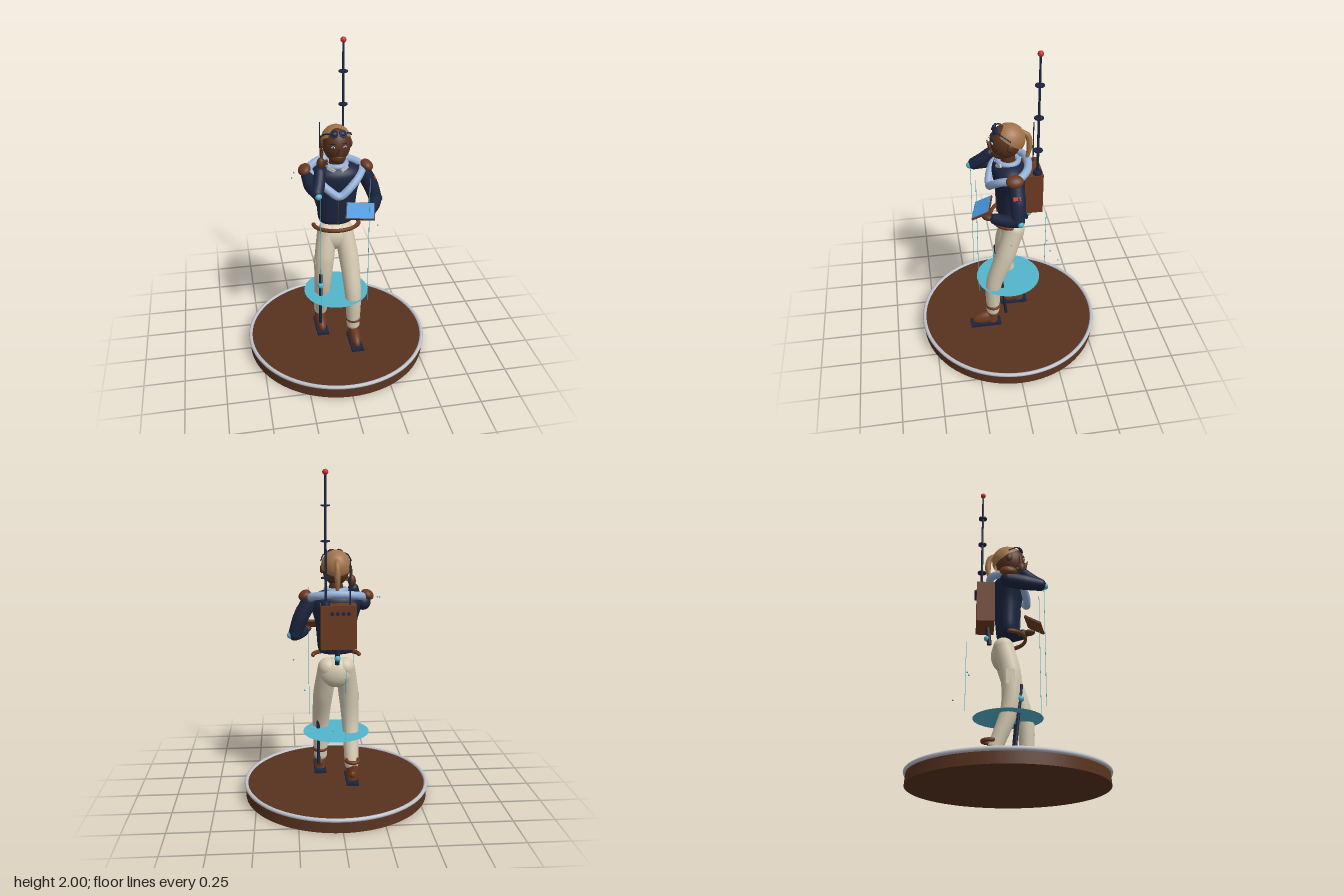
import * as THREE from 'three';

const mat = (name, color, side = THREE.FrontSide) => {
  const m = new THREE.MeshStandardMaterial({ color, side });
  m.name = name;
  return m;
};

export function createModel() {
  const root = new THREE.Group();
  const leather = mat('leather brown', 0x6b3a20);
  const skin = mat('dark brown', 0x58321f);
  const navy = mat('navy', 0x1b2540);
  const cream = mat('cream', 0xd3c8b0);
  const scarfBlue = mat('pale blue', 0x93afd6);
  const screenBlue = mat('screen blue', 0x4a9be2);
  const cyan = mat('cyan', 0x52b5cc, THREE.DoubleSide);
  const red = mat('red', 0xc9302c);
  const silver = mat('silver', 0xbfc3cc);
  const tan = mat('tan', 0xa0734a, THREE.DoubleSide);

  const v = (p) => new THREE.Vector3(...p);
  const add = (name, geo, material, pos = [0, 0, 0], rot = [0, 0, 0], scale = [1, 1, 1], parent = root) => {
    const m = new THREE.Mesh(geo, material);
    m.name = name;
    m.position.set(...pos);
    m.rotation.set(...rot);
    m.scale.set(...scale);
    parent.add(m);
    return m;
  };
  const box = (name, material, size, pos, rot) => add(name, new THREE.BoxGeometry(...size), material, pos, rot);
  const ball = (name, material, radii, pos, rot) =>
    add(name, new THREE.SphereGeometry(1, 28, 18), material, pos, rot, Array.isArray(radii) ? radii : [radii, radii, radii]);
  const cyl = (name, material, rTop, rBottom, h, pos, rot) =>
    add(name, new THREE.CylinderGeometry(rTop, rBottom, h, 24), material, pos, rot);
  // Straight rod between two points
  const rod = (name, material, r, a, b) => {
    const d = v(b).sub(v(a));
    const m = cyl(name, material, r, r, d.length(), v(a).add(v(b)).multiplyScalar(0.5).toArray());
    m.quaternion.setFromUnitVectors(new THREE.Vector3(0, 1, 0), d.normalize());
    return m;
  };
  // Smooth tube with a radius for every path point and rounded ends
  const limb = (name, material, pts, radii, n = 32, sides = 20) => {
    const path = new THREE.CatmullRomCurve3(pts.map(v));
    const geo = new THREE.TubeGeometry(path, n, 1, sides);
    const pos = geo.attributes.position, p = new THREE.Vector3();
    for (let i = 0; i <= n; i++) {
      const c = path.getPointAt(i / n);
      const t = path.getUtoTmapping(i / n) * (radii.length - 1);
      const k = Math.min(Math.floor(t), radii.length - 2);
      const r = THREE.MathUtils.lerp(radii[k], radii[k + 1], t - k);
      for (let j = 0; j <= sides; j++) {
        const id = i * (sides + 1) + j;
        p.fromBufferAttribute(pos, id).sub(c).multiplyScalar(r).add(c);
        pos.setXYZ(id, p.x, p.y, p.z);
      }
    }
    geo.computeVertexNormals();
    add(name, geo, material);
    ball(name + 'Start', material, radii[0], pts[0]);
    ball(name + 'End', material, radii[radii.length - 1], pts[pts.length - 1]);
  };

  // Display base and glowing disc
  cyl('base', skin, 0.565, 0.57, 0.078, [0, 0.039, 0]);
  add('baseRim', new THREE.TorusGeometry(0.567, 0.012, 10, 80), silver, [0, 0.076, 0], [Math.PI / 2, 0, 0]);
  root.getObjectByName('base').geometry = new THREE.CylinderGeometry(0.565, 0.57, 0.078, 80);
  add('glowDisc', new THREE.CircleGeometry(0.205, 48), cyan, [0, 0.4, 0], [-Math.PI / 2, 0, 0]);

  // Thin light beams and floating sparks
  for (const [x, z, y0, y1] of [[-0.13, 0.21, 0.44, 1.19], [0.16, 0.21, 0.44, 1.28], [-0.04, -0.25, 0.43, 0.86]])
    box('lightBeam', cyan, [0.003, y1 - y0, 0.003], [x, (y0 + y1) / 2, z]);
  for (const p of [[0.04, 0.52, -0.32], [0.2, 0.74, -0.23], [-0.25, 1.25, -0.01], [0.26, 0.86, 0.02], [0.05, 0.7, -0.24], [-0.27, 1.24, 0.04]])
    ball('spark', cyan, 0.005, p);

  // Trousers
  ball('hips', cream, [0.113, 0.095, 0.072], [0, 0.79, -0.03]);
  limb('leftLeg', cream, [[0.052, 0.82, -0.03], [0.078, 0.64, 0.03], [0.09, 0.42, 0.105], [0.092, 0.2, 0.115]], [0.062, 0.062, 0.052, 0.042]);
  limb('rightLeg', cream, [[-0.052, 0.82, -0.03], [-0.078, 0.64, 0.01], [-0.09, 0.44, 0.005], [-0.092, 0.21, -0.075]], [0.062, 0.062, 0.052, 0.043]);
  box('pocket', cream, [0.02, 0.09, 0.05], [-0.13, 0.61, 0.005]);

  // Boots, ankle cuffs and leg braces
  for (const [s, z] of [[1, 0.115], [-1, -0.09]]) {
    const x = s * 0.095;
    box('sole', navy, [0.075, 0.016, 0.2], [x, 0.093, z + 0.05]);
    ball('bootToe', leather, [0.034, 0.045, 0.09], [x, 0.135, z + 0.05], [0.22, 0, 0]);
    cyl('bootAnkle', leather, 0.033, 0.035, 0.1, [x, 0.16, z + 0.005]);
    add('ankleCuff', new THREE.TorusGeometry(0.038, 0.012, 10, 28), leather, [x, 0.24, s > 0 ? 0.112 : -0.11], [Math.PI / 2, 0, 0]);
    rod('legBrace', navy, 0.01, [s * 0.11, 0.57, 0.07], [s * 0.108, 0.17, 0.03]);
    ball('braceJoint', cyan, 0.02, [s * 0.11, 0.485, 0.065]);
  }

  // Jacket and half belt
  const profile = [[0, 0.905], [0.085, 0.907], [0.11, 0.94], [0.119, 1.03], [0.131, 1.12], [0.155, 1.2], [0.148, 1.25], [0.1, 1.285], [0.035, 1.3]];
  add('jacket', new THREE.LatheGeometry(new THREE.SplineCurve(profile.map((p) => new THREE.Vector2(...p))).getPoints(32), 40), navy, [0, 0, -0.003], [0, 0, 0], [1, 1, 0.63]);
  add('belt', new THREE.TorusGeometry(0.14, 0.013, 10, 36, Math.PI), leather, [0, 0.894, 0], [Math.PI / 2, 0, 0], [1, 0.75, 1]);
  for (const s of [-1, 1]) ball('beltEnd', leather, 0.013, [s * 0.14, 0.894, 0]);

  // Scarf draped over the shoulders, meeting in a V
  const scarfPath = new THREE.CatmullRomCurve3([[0, 1.285, -0.115], [0.1, 1.275, -0.095], [0.16, 1.255, -0.03], [0.125, 1.225, 0.06], [0.06, 1.17, 0.105], [0, 1.13, 0.115],
    [-0.06, 1.17, 0.105], [-0.125, 1.225, 0.06], [-0.16, 1.255, -0.03], [-0.1, 1.275, -0.095]].map(v), true);
  add('scarf', new THREE.TubeGeometry(scarfPath, 80, 0.024, 14, true), scarfBlue);
  add('collar', new THREE.TorusGeometry(0.06, 0.016, 10, 32), scarfBlue, [0, 1.295, 0], [Math.PI / 2, 0, 0]);
  for (const s of [-1, 1]) box('collarFlap', silver, [0.05, 0.022, 0.012], [s * 0.04, 1.285, 0.062], [0, s * 0.5, s * 0.5]);

  // Shoulder pads
  for (const s of [-1, 1]) ball('shoulderPad', leather, [0.04, 0.03, 0.052], [s * 0.188, 1.265, -0.01], [0, 0, -s * 0.55]);

  // Right arm raised towards the face
  limb('rightUpperArm', navy, [[-0.16, 1.22, -0.01], [-0.16, 1.205, 0.09], [-0.143, 1.2, 0.185]], [0.048, 0.046, 0.037]);
  limb('rightForearm', navy, [[-0.143, 1.2, 0.185], [-0.125, 1.24, 0.14], [-0.113, 1.285, 0.095]], [0.037, 0.036, 0.033]);
  ball('rightElbowJoint', cyan, 0.02, [-0.14, 1.192, 0.215]);
  ball('rightHand', skin, [0.024, 0.038, 0.026], [-0.103, 1.335, 0.075]);
  rod('rightIndexFinger', skin, 0.009, [-0.1, 1.35, 0.075], [-0.094, 1.42, 0.07]);
  for (const i of [0, 1]) rod('rightFinger', skin, 0.008, [-0.095, 1.345 - i * 0.016, 0.09], [-0.068, 1.36 - i * 0.016, 0.098]);

  // Left arm carrying the tablet
  limb('leftUpperArm', navy, [[0.165, 1.225, -0.02], [0.215, 1.13, -0.025], [0.25, 1.03, -0.02]], [0.048, 0.047, 0.04]);
  limb('leftForearm', navy, [[0.25, 1.03, -0.02], [0.225, 1.02, 0.045], [0.195, 1.02, 0.105]], [0.04, 0.037, 0.033]);
  ball('leftElbowJoint', cyan, 0.02, [0.278, 1.025, -0.03]);
  ball('leftHand', skin, [0.028, 0.02, 0.04], [0.175, 1.025, 0.145], [0, -0.5, 0]);
  box('sleeveBadge', red, [0.008, 0.022, 0.045], [0.238, 1.18, -0.015], [0, 0, 0.45]);
  const tablet = new THREE.Group();
  tablet.name = 'tablet';
  tablet.position.set(0.115, 1.052, 0.172);
  tablet.rotation.set(0.52, -0.24, 0, 'YXZ');
  add('tabletCase', new THREE.BoxGeometry(0.17, 0.012, 0.115), leather, [0, 0, 0], [0, 0, 0], [1, 1, 1], tablet);
  add('tabletScreen', new THREE.BoxGeometry(0.158, 0.005, 0.107), screenBlue, [0, 0.007, 0], [0, 0, 0], [1, 1, 1], tablet);
  root.add(tablet);

  // Head and face
  cyl('neck', skin, 0.038, 0.045, 0.1, [0, 1.31, 0]);
  ball('head', skin, [0.082, 0.105, 0.092], [0, 1.425, 0.015]);
  ball('jaw', skin, [0.05, 0.042, 0.05], [0, 1.36, 0.05]);
  add('nose', new THREE.ConeGeometry(0.02, 0.06, 12), skin, [0, 1.42, 0.113], [0.5, 0, 0]);
  ball('mouth', leather, [0.022, 0.006, 0.008], [0, 1.372, 0.098]);
  for (const s of [-1, 1]) {
    ball('eye', silver, [0.012, 0.007, 0.006], [s * 0.034, 1.437, 0.098], [0, s * 0.4, 0]);
    ball('pupil', navy, [0.005, 0.006, 0.004], [s * 0.034, 1.437, 0.103]);
    box('eyebrow', navy, [0.028, 0.005, 0.006], [s * 0.034, 1.457, 0.095], [0, s * 0.4, 0]);
    ball('ear', skin, [0.012, 0.026, 0.02], [s * 0.085, 1.42, 0]);
  }

  // Hair, ponytail and goggles
  add('hair', new THREE.SphereGeometry(1, 36, 20, 0, Math.PI * 2, 0, 1.5), tan, [0, 1.435, -0.002], [-0.6, 0, 0], [0.09, 0.1, 0.098]);
  limb('ponytail', tan, [[0, 1.475, -0.085], [0, 1.45, -0.115], [0, 1.38, -0.127], [0, 1.285, -0.108]], [0.015, 0.018, 0.018, 0.008]);
  for (const s of [-1, 1]) {
    ball('goggleLens', navy, [0.019, 0.016, 0.011], [s * 0.026, 1.51, 0.077], [-0.6, s * 0.3, 0]);
    add('goggleRim', new THREE.TorusGeometry(0.019, 0.005, 8, 24), navy, [s * 0.026, 1.511, 0.079], [-0.6, s * 0.3, 0]);
    limb('goggleStrap', navy, [[s * 0.043, 1.51, 0.073], [s * 0.073, 1.5, 0.045], [s * 0.09, 1.47, 0]], [0.005, 0.004, 0.004], 14, 8);
  }

  // Backpack with knobs, antennas and a hanging hose
  box('backpack', leather, [0.21, 0.26, 0.11], [-0.003, 1.1, -0.14]);
  for (let i = 0; i < 4; i++) cyl('knob', navy, 0.011, 0.011, 0.016, [-0.06 + i * 0.032, 1.185, -0.2], [Math.PI / 2, 0, 0]);
  cyl('antennaBase', navy, 0.024, 0.028, 0.025, [0.072, 1.24, -0.163]);
  cyl('antenna', navy, 0.006, 0.008, 0.75, [0.072, 1.605, -0.163]);
  for (const y of [1.39, 1.6, 1.8]) cyl('antennaRing', navy, 0.027, 0.027, 0.008, [0.072, y, -0.163]);
  ball('antennaTip', red, 0.017, [0.072, 1.983, -0.163]);
  cyl('shortAntenna', navy, 0.003, 0.004, 0.27, [-0.07, 1.36, -0.163]);
  rod('hose', navy, 0.014, [0, 0.98, -0.125], [0, 0.86, -0.112]);
  ball('hoseValve', cyan, 0.018, [0, 0.9, -0.128]);

  // Front zip
  box('zip', skin, [0.005, 0.17, 0.006], [0, 1.01, 0.073], [0.05, 0, 0]);
  return root;
}
